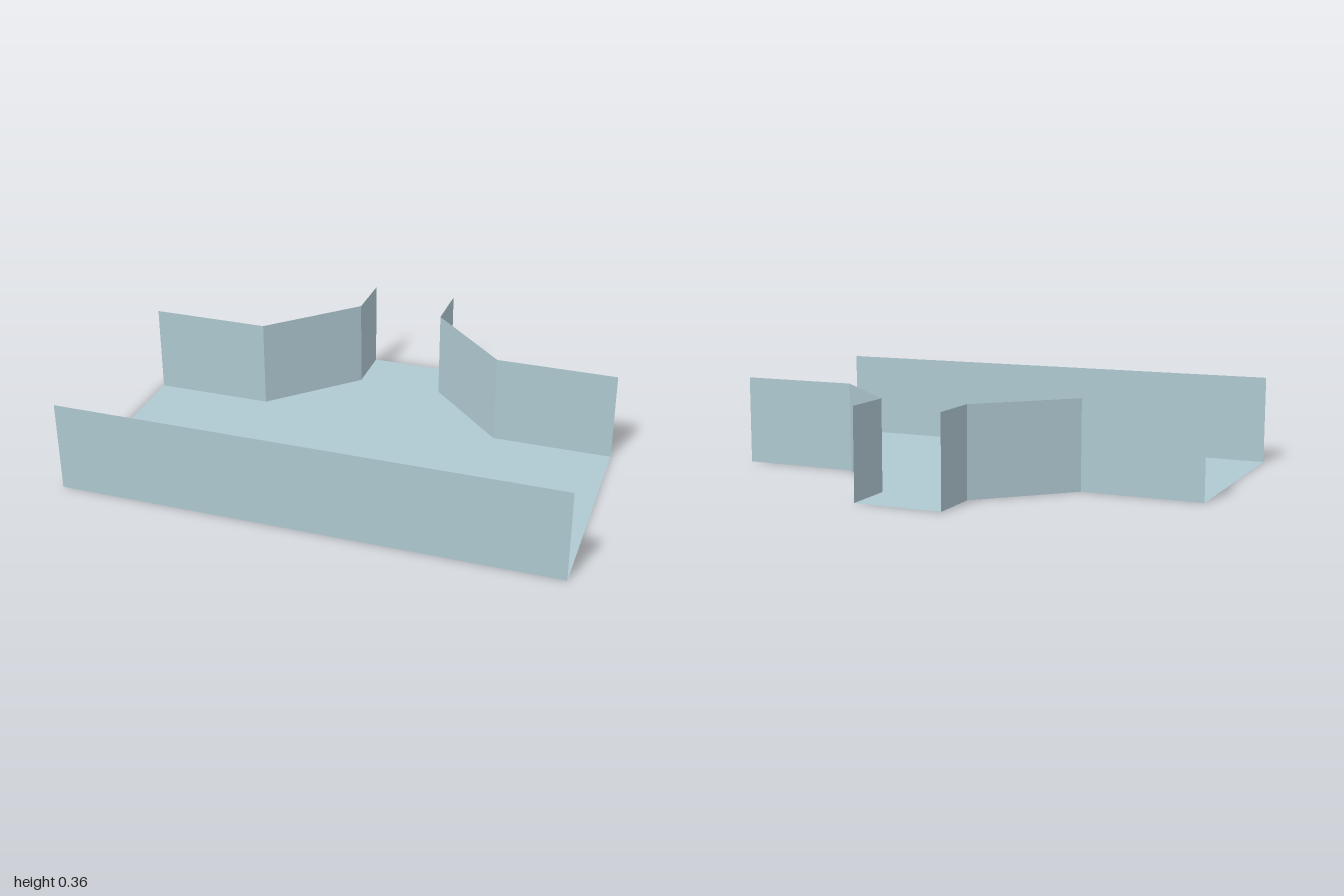
import * as THREE from 'three';

const HEIGHT = 0.364;
const BACK = -0.727, FRONT = 0.727;
const steel = new THREE.MeshStandardMaterial({ color: 0xafc8d1, side: THREE.DoubleSide });
steel.name = 'galvanised steel';

// Outline of the right-hand back edge, from the run end to the branch mouth (x, z)
const edge = [[1, -0.182], [0.51, -0.182], [0.18, -0.51], [0.18, BACK]];
const mirrored = edge.map(([x, z]) => [-x, z]);

// Upright sheet folded along a path of (x, z) points
function wall(name, path) {
  const group = new THREE.Group();
  group.name = name;
  for (let i = 0; i < path.length - 1; i++) {
    const [x0, z0] = path[i], [x1, z1] = path[i + 1];
    const panel = new THREE.Mesh(new THREE.PlaneGeometry(Math.hypot(x1 - x0, z1 - z0), HEIGHT), steel);
    panel.name = name + 'Panel' + (i + 1);
    panel.position.set((x0 + x1) / 2, HEIGHT / 2, (z0 + z1) / 2);
    panel.rotation.y = -Math.atan2(z1 - z0, x1 - x0);
    group.add(panel);
  }
  return group;
}

export function createModel() {
  const model = new THREE.Group();
  model.name = 'teeTray';

  // Flat tee-shaped base
  const outline = [[-1, FRONT], [1, FRONT], ...edge, ...mirrored.slice().reverse()];
  const shape = new THREE.Shape(outline.map(([x, z]) => new THREE.Vector2(x, -z)));
  const base = new THREE.Mesh(new THREE.ShapeGeometry(shape).rotateX(-Math.PI / 2), steel);
  base.name = 'base';
  model.add(base);

  // Straight front side and the two folded branch sides
  model.add(wall('frontWall', [[-1, FRONT], [1, FRONT]]));
  model.add(wall('leftBranchWall', edge));
  model.add(wall('rightBranchWall', mirrored));
  return model;
}
